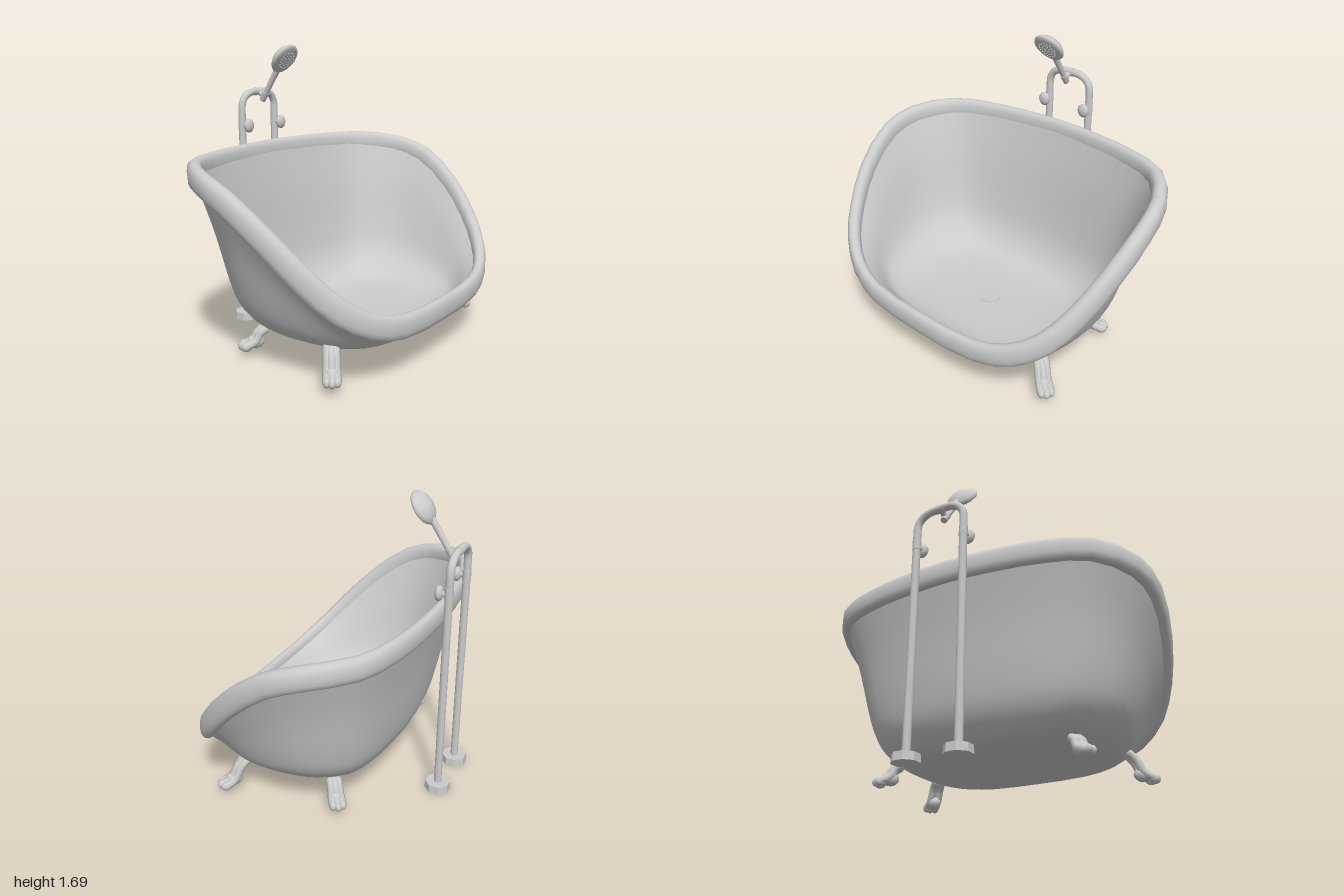
import * as THREE from 'three';

const V = (x, y, z) => new THREE.Vector3(x, y, z);
const grey = new THREE.MeshStandardMaterial({ color: 0xcccccc });
const greyThin = new THREE.MeshStandardMaterial({ color: 0xcccccc, side: THREE.DoubleSide });

function add(parent, name, geometry, material = grey) {
  const mesh = new THREE.Mesh(geometry, material);
  mesh.name = name;
  parent.add(mesh);
  return mesh;
}

// Rod between two points, with an optional taper
function rod(parent, name, a, b, ra, rb = ra, sides = 14) {
  const mesh = add(parent, name, new THREE.CylinderGeometry(rb, ra, a.distanceTo(b), sides));
  mesh.position.copy(a).lerp(b, 0.5);
  mesh.quaternion.setFromUnitVectors(V(0, 1, 0), b.clone().sub(a).normalize());
  return mesh;
}

// Surface over a grid of points; u always wraps round, v wraps when closed
function surface(nu, nv, closed, flip, point) {
  const pos = [], index = [];
  for (let i = 0; i < nu; i++) for (let j = 0; j < nv; j++) pos.push(...point(i, j).toArray());
  for (let i = 0; i < nu; i++) {
    for (let j = 0; j < (closed ? nv : nv - 1); j++) {
      const k = ((i + 1) % nu) * nv, l = (j + 1) % nv;
      const a = i * nv + j, b = k + j, c = k + l, d = i * nv + l;
      index.push(...(flip ? [a, c, b, a, d, c] : [a, b, c, a, c, d]));
    }
  }
  const g = new THREE.BufferGeometry();
  g.setAttribute('position', new THREE.Float32BufferAttribute(pos, 3));
  g.setIndex(index);
  g.computeVertexNormals();
  return g;
}

// Centre line of the sloping rim, half of it mirrored in z
const halfRim = [
  [-0.553, 1.053, 0], [-0.535, 1.05, 0.3], [-0.493, 1.046, 0.55], [-0.405, 1.04, 0.77],
  [-0.19, 1.012, 0.918], [0, 0.945, 0.955], [0.225, 0.77, 0.922], [0.39, 0.594, 0.85],
  [0.513, 0.45, 0.75], [0.602, 0.35, 0.6], [0.653, 0.296, 0.39], [0.67, 0.286, 0],
].map(p => V(...p));
const mirrored = halfRim.slice(1, -1).reverse().map(p => V(p.x, p.y, -p.z));
const rimCurve = new THREE.CatmullRomCurve3([...halfRim, ...mirrored], true);

// Wall profile: share of the distance from the floor centre, share of the height
const wall = new THREE.SplineCurve([
  [1, 1], [0.91, 0.71], [0.83, 0.39], [0.77, 0.22], [0.68, 0.107], [0.58, 0.046], [0.45, 0.018], [0.25, 0.004], [0, 0],
].map(p => new THREE.Vector2(...p))).getPoints(28);

function buildTub(parent) {
  const tub = new THREE.Group();
  tub.name = 'tub';
  parent.add(tub);
  const N = 44, S = 16;
  const frames = Array.from({ length: N }, (_, i) => {
    const p = rimCurve.getPoint(i / N), t = rimCurve.getTangent(i / N);
    const up = V(0, 1, 0).addScaledVector(t, -t.y).normalize();
    return { p, up, out: t.clone().cross(up).normalize() };
  });
  // Rolled rim: an oval section, wider at the two long ends
  const soft = v => Math.sign(v) * Math.abs(v) ** 0.85;
  add(tub, 'rim', surface(N, S, true, false, (i, j) => {
    const { p, up, out } = frames[i], a = j / S * Math.PI * 2;
    const w = 0.033 + 0.012 * Math.abs(out.z);
    return p.clone().addScaledVector(out, w * soft(Math.cos(a))).addScaledVector(up, 0.066 * soft(Math.sin(a)));
  }));
  // Outer and inner shells, from the rim down to the floor
  const shell = (floor, rise, inset, flip) => surface(N, wall.length, false, flip, (i, j) => {
    const { p, up, out } = frames[i], { x: s, y: h } = wall[j];
    const top = p.clone().addScaledVector(up, rise).addScaledVector(out, -inset);
    return V(0.1 + (top.x - 0.1) * s, floor + (top.y - floor) * h, top.z * s);
  });
  add(tub, 'outerShell', shell(0.125, -0.045, 0.004, true), greyThin);
  add(tub, 'innerShell', shell(0.15, 0.02, 0.027, false), greyThin);
  const drain = add(tub, 'drain', new THREE.CylinderGeometry(0.06, 0.06, 0.008, 24));
  drain.position.set(0.095, 0.151, 0);
}

// Claw foot with three toes, pointing along its own +z and leaning back to meet the tub
function buildFoot(parent, name, x, z, turn, topY, topZ) {
  const foot = new THREE.Group();
  foot.name = name;
  foot.position.set(x, 0, z);
  foot.rotation.y = turn;
  parent.add(foot);
  for (const k of [-1, 0, 1]) {
    const reach = k ? 0 : 0.012;
    const path = new THREE.CatmullRomCurve3([
      V(k * 0.021, topY, topZ), V(k * 0.021, 0.045 + topY * 0.6, topZ * 0.6 + reach),
      V(k * 0.023, 0.09, -0.008 + reach), V(k * 0.026, 0.064, 0.045 + reach),
    ]);
    add(foot, 'legRidge', new THREE.TubeGeometry(path, 8, 0.024, 8));
    const heel = add(foot, 'heel', new THREE.SphereGeometry(0.024, 8, 6));
    heel.position.copy(path.getPoint(0));
    const toe = add(foot, 'toe', new THREE.SphereGeometry(1, 10, 8));
    toe.scale.set(0.021, 0.027, 0.034);
    toe.position.set(k * 0.027, 0.064, 0.043 + reach);
  }
  const pad = add(foot, 'pad', new THREE.SphereGeometry(1, 10, 8));
  pad.scale.set(0.04, 0.04, 0.05);
  pad.position.set(0, 0.085, -0.012);
}

function buildTap(parent) {
  const tap = new THREE.Group();
  tap.name = 'standpipe';
  parent.add(tap);
  const X = -0.63, Z = 0.148, top = 1.41, r = 0.1;
  // Two risers joined by an arch
  const path = new THREE.CurvePath();
  path.add(new THREE.LineCurve3(V(X, 0.02, -Z), V(X, top - r, -Z)));
  path.add(new THREE.QuadraticBezierCurve3(V(X, top - r, -Z), V(X, top - 0.01, -Z), V(X, top, -Z + r)));
  path.add(new THREE.LineCurve3(V(X, top, -Z + r), V(X, top, Z - r)));
  path.add(new THREE.QuadraticBezierCurve3(V(X, top, Z - r), V(X, top - 0.01, Z), V(X, top - r, Z)));
  path.add(new THREE.LineCurve3(V(X, top - r, Z), V(X, 0.02, Z)));
  add(tap, 'pipe', new THREE.TubeGeometry(path, 160, 0.022, 12));

  for (const z of [-Z, Z]) {
    const base = add(tap, 'base', new THREE.CylinderGeometry(0.072, 0.075, 0.045, 8).toNonIndexed());
    base.geometry.computeVertexNormals();
    base.rotation.y = Math.PI / 8;
    base.position.set(X, 0.0225, z);
    rod(tap, 'collar', V(X, 1.19, z), V(X, 1.25, z), 0.024);
    rod(tap, 'valveStem', V(X, 1.215, z), V(-0.58, 1.215, z), 0.015);
    const knob = add(tap, 'valveKnob', new THREE.SphereGeometry(1, 10, 8));
    knob.scale.set(0.023, 0.042, 0.038);
    knob.position.set(-0.576, 1.215, z);
  }

  // Holder and hand shower
  rod(tap, 'holderSleeve', V(X, top, -0.025), V(X, top, 0.025), 0.024);
  rod(tap, 'holderArm', V(X, top, 0), V(-0.585, 1.385, 0), 0.016);
  rod(tap, 'holderCup', V(-0.597, 1.355, 0), V(-0.568, 1.405, 0), 0.018, 0.023);
  rod(tap, 'handle', V(-0.59, 1.365, 0), V(-0.445, 1.59, 0), 0.015, 0.021);

  const head = new THREE.Group();
  head.name = 'showerHead';
  head.position.set(-0.424, 1.615, 0);
  head.quaternion.setFromUnitVectors(V(0, 1, 0), V(0.82, -0.57, 0).normalize());
  tap.add(head);
  const profile = [[0, -0.042], [0.035, -0.037], [0.068, -0.023], [0.09, -0.004], [0.097, 0.01],
    [0.092, 0.02], [0.075, 0.026], [0.04, 0.03], [0, 0.031]];
  add(head, 'headShell', new THREE.LatheGeometry(profile.map(p => new THREE.Vector2(...p)), 24));
  // Rings of nozzles
  for (const [radius, count] of [[0.015, 6], [0.034, 12], [0.053, 18]]) {
    for (let i = 0; i < count; i++) {
      const a = i / count * Math.PI * 2;
      const nozzle = add(head, 'nozzle', new THREE.CylinderGeometry(0.003, 0.004, 0.01, 6));
      nozzle.position.set(radius * Math.cos(a), 0.03, radius * Math.sin(a));
    }
  }
}

export function createModel() {
  const model = new THREE.Group();
  model.name = 'bathtub';
  buildTub(model);
  for (const s of [1, -1]) {
    const turn = a => (s > 0 ? a : Math.PI - a);
    buildFoot(model, 'highEndFoot', -0.19, 0.58 * s, turn(-0.65), 0.152, -0.06);
    buildFoot(model, 'lowEndFoot', 0.42, 0.685 * s, turn(0.65), 0.195, -0.085);
  }
  buildTap(model);
  return model;
}
